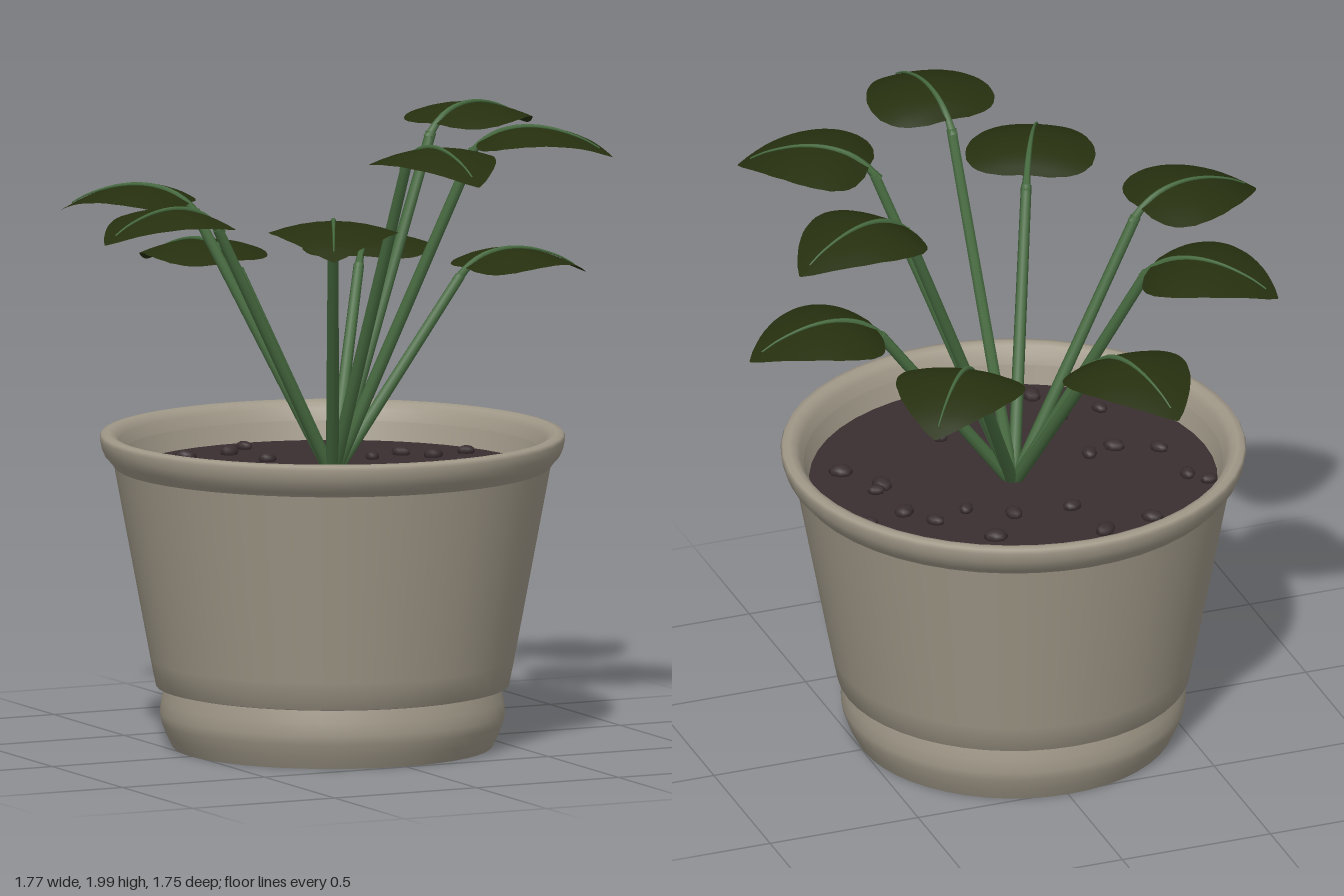
import * as THREE from 'three';

const mat = (name, color, side = THREE.FrontSide) => {
  const m = new THREE.MeshStandardMaterial({ color, side });
  m.name = name;
  return m;
};

const smooth = (pts) => new THREE.CatmullRomCurve3(pts.map(([x, y]) => new THREE.Vector3(x, y, 0)));

export function createModel() {
  const clay = mat('clay', 0xa09888);
  const soilBrown = mat('soilBrown', 0x392e30);
  const leafGreen = mat('leafGreen', 0x26300f, THREE.DoubleSide);
  const stemGreen = mat('stemGreen', 0x476b40);

  const model = new THREE.Group();
  model.name = 'pottedPlant';
  const add = (parent, name, geometry, material) => {
    const mesh = new THREE.Mesh(geometry, material);
    mesh.name = name;
    parent.add(mesh);
    return mesh;
  };

  // Pot: one lathe per smooth stretch, so the joints between them stay sharp
  const pot = new THREE.Group();
  pot.name = 'pot';
  model.add(pot);
  const profiles = {
    potBottom: [[0, 0], [0.505, 0]],
    potFoot: [[0.505, 0], [0.525, 0.04], [0.54, 0.08], [0.546, 0.11], [0.541, 0.15], [0.532, 0.19]],
    potBand: [[0.53, 0.19], [0.558, 0.196], [0.575, 0.28]],
    potWall: [[0.575, 0.28], [0.69, 0.895]],
    potRim: [[0.69, 0.895], [0.7, 0.908], [0.718, 0.928], [0.73, 0.955], [0.736, 0.985], [0.73, 0.998],
      [0.71, 1.002], [0.69, 0.995], [0.675, 0.975], [0.662, 0.94]],
    potInside: [[0.662, 0.94], [0.64, 0.86]],
  };
  for (const [name, pts] of Object.entries(profiles)) {
    add(pot, name, new THREE.LatheGeometry(pts.map((p) => new THREE.Vector2(...p)), 48), clay);
  }

  // Soil disc with scattered crumbs
  const soilY = 0.88;
  add(model, 'soil', new THREE.CircleGeometry(0.648, 48).rotateX(-Math.PI / 2), soilBrown).position.y = soilY;
  const crumbSpots = [
    [-0.57, -0.24], [-0.52, -0.18], [-0.31, -0.42], [-0.14, -0.45], [-0.05, -0.53], [-0.1, -0.26],
    [0.09, -0.24], [0.2, -0.37], [0.22, -0.16], [0.34, -0.2], [0.41, -0.11], [0.41, 0.09], [0.44, 0.06],
    [-0.28, 0.06], [-0.37, 0.08], [-0.05, 0.15], [-0.42, 0.34], [-0.28, 0.33], [0.12, 0.34],
    [0.5, 0.22], [0.3, -0.48], [-0.5, 0.02], [0.05, 0.5], [-0.25, 0.5], [0.54, -0.14],
  ];
  const crumbGeometry = new THREE.SphereGeometry(0.034, 8, 6).scale(1, 0.6, 0.75);
  crumbSpots.forEach(([x, z], i) => {
    const crumb = add(model, 'soilCrumb', crumbGeometry, soilBrown);
    crumb.position.set(x, soilY + 0.008, z);
    crumb.rotation.y = i * 1.3;
    crumb.scale.setScalar(0.85 + 0.1 * (i % 4));
  });

  // Leaf midline (radius, height below the crest) and half-width from base to tip
  const midline = smooth([[0.465, -0.055], [0.53, -0.022], [0.61, -0.005], [0.7, -0.012], [0.8, -0.045], [0.89, -0.095]]);
  const widths = [[0, 0.07], [0.04, 0.125], [0.12, 0.172], [0.25, 0.2], [0.38, 0.207], [0.52, 0.195],
    [0.68, 0.157], [0.82, 0.102], [0.94, 0.045], [1, 0.004]];
  const halfWidth = (t) => {
    const i = Math.max(1, widths.findIndex(([u]) => u >= t - 1e-6));
    const [[u0, w0], [u1, w1]] = [widths[i - 1], widths[i]];
    return THREE.MathUtils.lerp(w0, w1, (t - u0) / (u1 - u0));
  };

  // Bend a flat grid into the domed, drooping blade
  const leafGeometry = new THREE.PlaneGeometry(2, 1, 8, 20);
  const pos = leafGeometry.attributes.position;
  for (let i = 0; i < pos.count; i++) {
    const s = pos.getX(i);
    const t = THREE.MathUtils.clamp(pos.getY(i) + 0.5, 0, 1);
    const c = midline.getPoint(t);
    const w = halfWidth(t);
    pos.setXYZ(i, c.x, c.y - 0.9 * w * w * s * s, s * w);
  }
  leafGeometry.computeVertexNormals();

  // Midrib: a tube tapering to the leaf tip
  const ribCurve = smooth([[0.435, -0.098], [0.475, -0.055], [0.53, -0.02], [0.61, -0.002], [0.7, -0.008], [0.8, -0.04], [0.85, -0.068]]);
  const ribSegments = 18, ribSides = 6;
  const ribGeometry = new THREE.TubeGeometry(ribCurve, ribSegments, 0.017, ribSides);
  const rib = ribGeometry.attributes.position;
  const v = new THREE.Vector3();
  for (let i = 0; i < rib.count; i++) {
    const t = Math.floor(i / (ribSides + 1)) / ribSegments;
    const c = ribCurve.getPointAt(t);
    v.fromBufferAttribute(rib, i).sub(c).multiplyScalar(1 - 0.85 * Math.sqrt(t)).add(c);
    rib.setXYZ(i, v.x, v.y, v.z);
  }

  // Nine fronds: [bearing in degrees, crest height]
  const fronds = [[0, 1.55], [20, 1.99], [53, 1.55], [105, 1.55], [139, 1.77], [190, 1.77], [244, 1.77], [275, 1.99], [327, 1.99]];
  for (const [angle, crest] of fronds) {
    const frond = new THREE.Group();
    frond.name = 'frond';
    frond.rotation.y = THREE.MathUtils.degToRad(angle);
    model.add(frond);
    add(frond, 'leaf', leafGeometry, leafGreen).position.y = crest;
    add(frond, 'midrib', ribGeometry, stemGreen).position.y = crest;

    // Straight stem from the soil to the leaf base
    const foot = new THREE.Vector3(0, soilY - 0.02, 0);
    const top = new THREE.Vector3(0.45, crest - 0.08, 0);
    const dir = top.clone().sub(foot);
    const stem = add(frond, 'stem', new THREE.CylinderGeometry(0.017, 0.021, dir.length(), 8), stemGreen);
    stem.position.copy(foot).addScaledVector(dir, 0.5);
    stem.quaternion.setFromUnitVectors(new THREE.Vector3(0, 1, 0), dir.normalize());
  }

  model.children.forEach((part) => {
    part.position.x -= 0.007;
    part.position.z -= 0.013;
  });
  return model;
}
